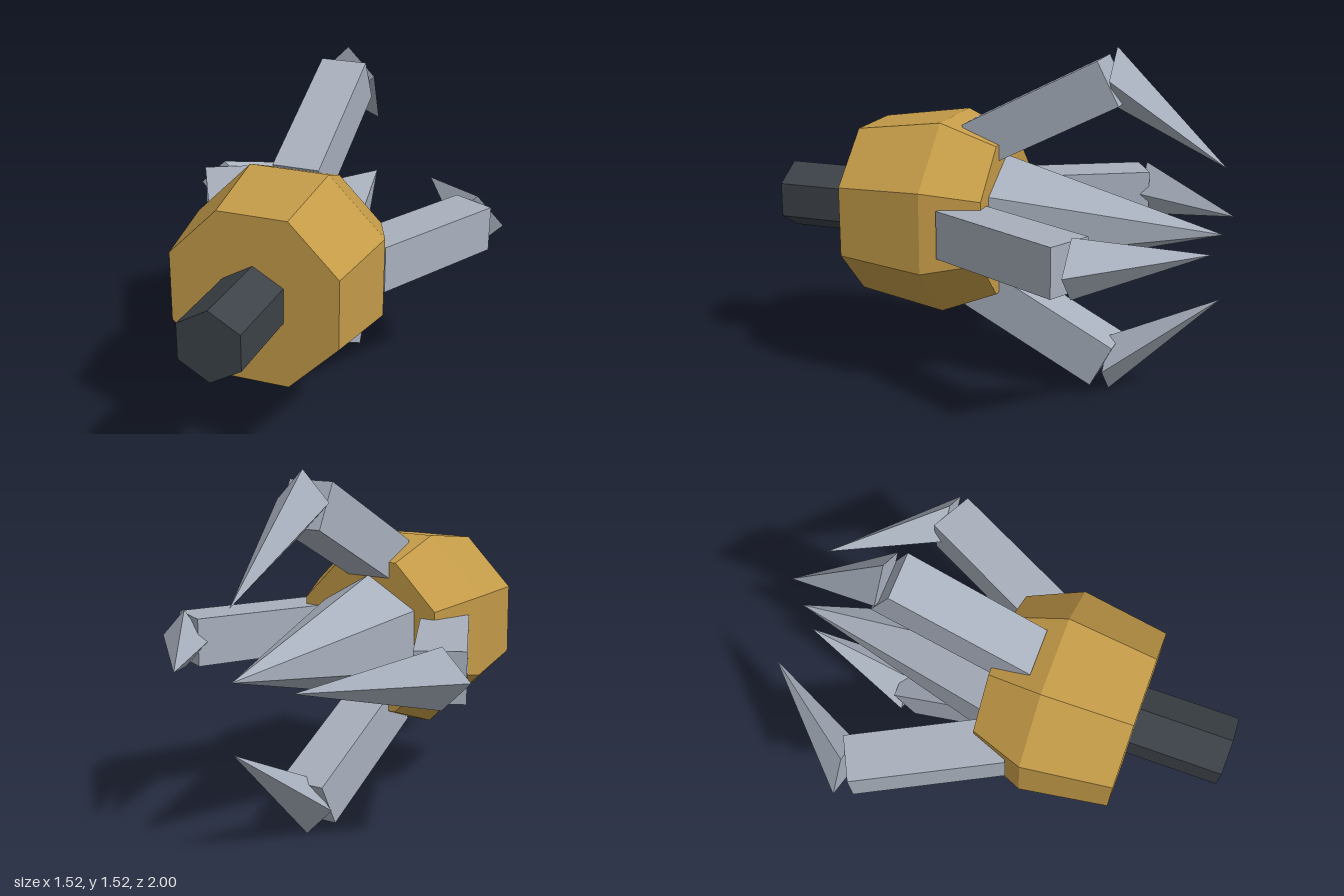
import * as THREE from 'three';

const AXIS_Y = 0.763; // height of the long axis

export function createModel() {
  const paint = (name, color) => {
    const m = new THREE.MeshStandardMaterial({ color, flatShading: true });
    m.name = name;
    return m;
  };
  const gold = paint('gold', 0xc49b48);
  const steel = paint('steel', 0xa8b0bd);
  const dark = paint('dark iron', 0x3c4248);

  const model = new THREE.Group();
  model.name = 'grapplingHook';
  model.position.y = AXIS_Y;
  const root = new THREE.Group();
  root.add(model);

  const add = (parent, name, geometry, material, x = 0, y = 0, z = 0) => {
    const mesh = new THREE.Mesh(geometry, material);
    mesh.name = name;
    mesh.position.set(x, y, z);
    parent.add(mesh);
    return mesh;
  };

  // Octagonal body: [flat-to-centre distance, z]
  const corner = 1 / Math.cos(Math.PI / 8);
  const profile = [[0, -0.045], [0.331, -0.045], [0.424, 0.195], [0.368, 0.588], [0, 0.588]]
    .map(([r, z]) => new THREE.Vector2(r * corner, z));
  const body = new THREE.LatheGeometry(profile, 8, Math.PI / 8).rotateX(Math.PI / 2);
  add(model, 'body', body, gold);

  // Hexagonal shaft at the front
  const shaft = new THREE.CylinderGeometry(0.153, 0.153, 0.45, 6).rotateX(Math.PI / 2);
  add(model, 'shaft', shaft, dark, 0, 0, 0.775);

  // Central spike at the back
  const spike = new THREE.ConeGeometry(0.267, 0.955, 6).rotateX(-Math.PI / 2);
  add(model, 'centreSpike', spike, steel, 0, 0, -0.5225);

  // Claw tip: four-sided pyramid whose point is sheared towards the axis
  const clawLength = 0.475;
  const claw = new THREE.ConeGeometry(0.126, clawLength, 4).rotateX(-Math.PI / 2);
  const p = claw.attributes.position;
  for (let i = 0; i < p.count; i++) {
    if (p.getZ(i) < 0) p.setY(i, p.getY(i) - 0.353);
  }
  claw.computeVertexNormals();

  // Four arms, each with a claw tip, spaced around the axis
  const arm = new THREE.BoxGeometry(0.208, 0.206, 0.667);
  for (let i = 0; i < 4; i++) {
    const hook = new THREE.Group();
    hook.name = 'hook' + (i + 1);
    hook.rotation.z = i * Math.PI / 2;
    add(hook, 'arm', arm, steel, 0, 0.468, -0.2185).rotation.x = 0.478;
    add(hook, 'claw', claw, steel, 0, 0.636, -0.525 - clawLength / 2);
    model.add(hook);
  }
  return root;
}
